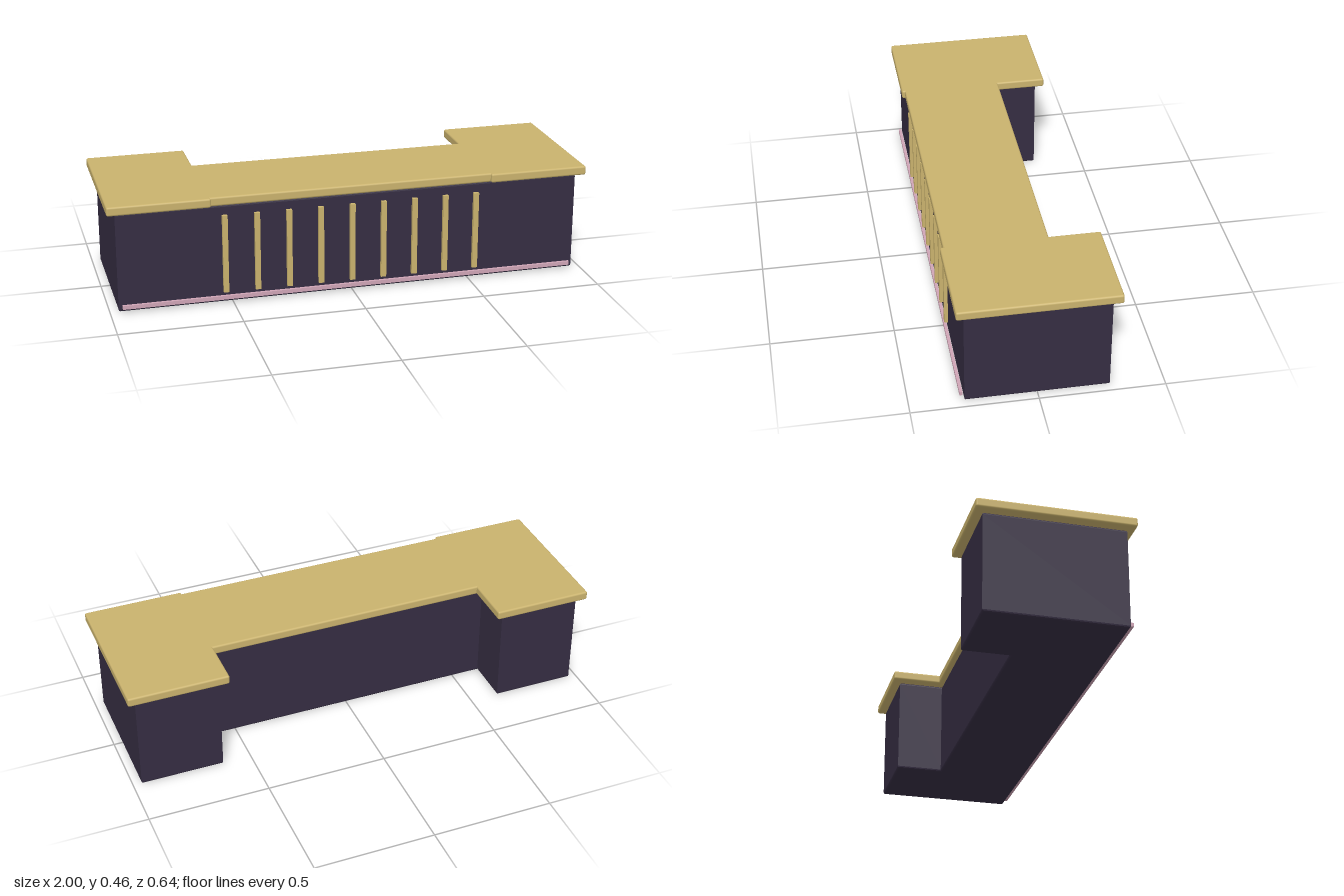
import * as THREE from 'three';
import { RoundedBoxGeometry } from 'three/addons/geometries/RoundedBoxGeometry.js';

export function createModel() {
  const model = new THREE.Group();
  model.name = 'receptionCounter';

  const dark = new THREE.MeshStandardMaterial({ name: 'darkPanel', color: 0x352d42 });
  const gold = new THREE.MeshStandardMaterial({ name: 'goldTop', color: 0xc9b26d });
  const pink = new THREE.MeshStandardMaterial({ name: 'pinkTrim', color: 0xcfa5b6 });

  // Box from its minimum and maximum corners, rounded when a radius is given
  function block(name, material, min, max, radius = 0) {
    const size = max.map((v, i) => v - min[i]);
    const geometry = radius
      ? new RoundedBoxGeometry(...size, 3, radius)
      : new THREE.BoxGeometry(...size);
    const mesh = new THREE.Mesh(geometry, material);
    mesh.name = name;
    mesh.position.set(...max.map((v, i) => (v + min[i]) / 2));
    model.add(mesh);
  }

  // U-shaped body with softened edges, drawn in plan (shape y is -z)
  const plan = new THREE.Shape([
    [-0.965, -0.285], [0.965, -0.285], [0.965, 0.285], [0.62, 0.285],
    [0.62, 0.09], [-0.62, 0.09], [-0.62, 0.285], [-0.965, 0.285],
  ].map(([x, y]) => new THREE.Vector2(x, y)));
  const bevel = 0.01;
  const bodyGeometry = new THREE.ExtrudeGeometry(plan, {
    depth: 0.418 - 2 * bevel, bevelThickness: bevel, bevelSize: bevel,
    bevelOffset: -bevel, bevelSegments: 3,
  });
  bodyGeometry.rotateX(-Math.PI / 2).translate(0, bevel, 0);
  const body = new THREE.Mesh(bodyGeometry, dark);
  body.name = 'body';
  model.add(body);

  // Countertop: a long middle slab and two deeper end slabs
  block('middleTop', gold, [-0.61, 0.42, -0.11], [0.61, 0.458, 0.305], 0.008);
  block('leftTop', gold, [0.585, 0.42, -0.318], [1, 0.458, 0.318], 0.008);
  block('rightTop', gold, [-1, 0.42, -0.318], [-0.585, 0.458, 0.318], 0.008);

  // Vertical slats on the front
  for (let i = -4; i <= 4; i++) {
    const x = i * 0.132;
    block('slat', gold, [x - 0.011, 0.045, 0.28], [x + 0.011, 0.375, 0.3]);
  }

  // Light strip along the foot of the front
  block('footTrim', pink, [-0.95, 0.015, 0.29], [0.95, 0.031, 0.302]);

  return model;
}
